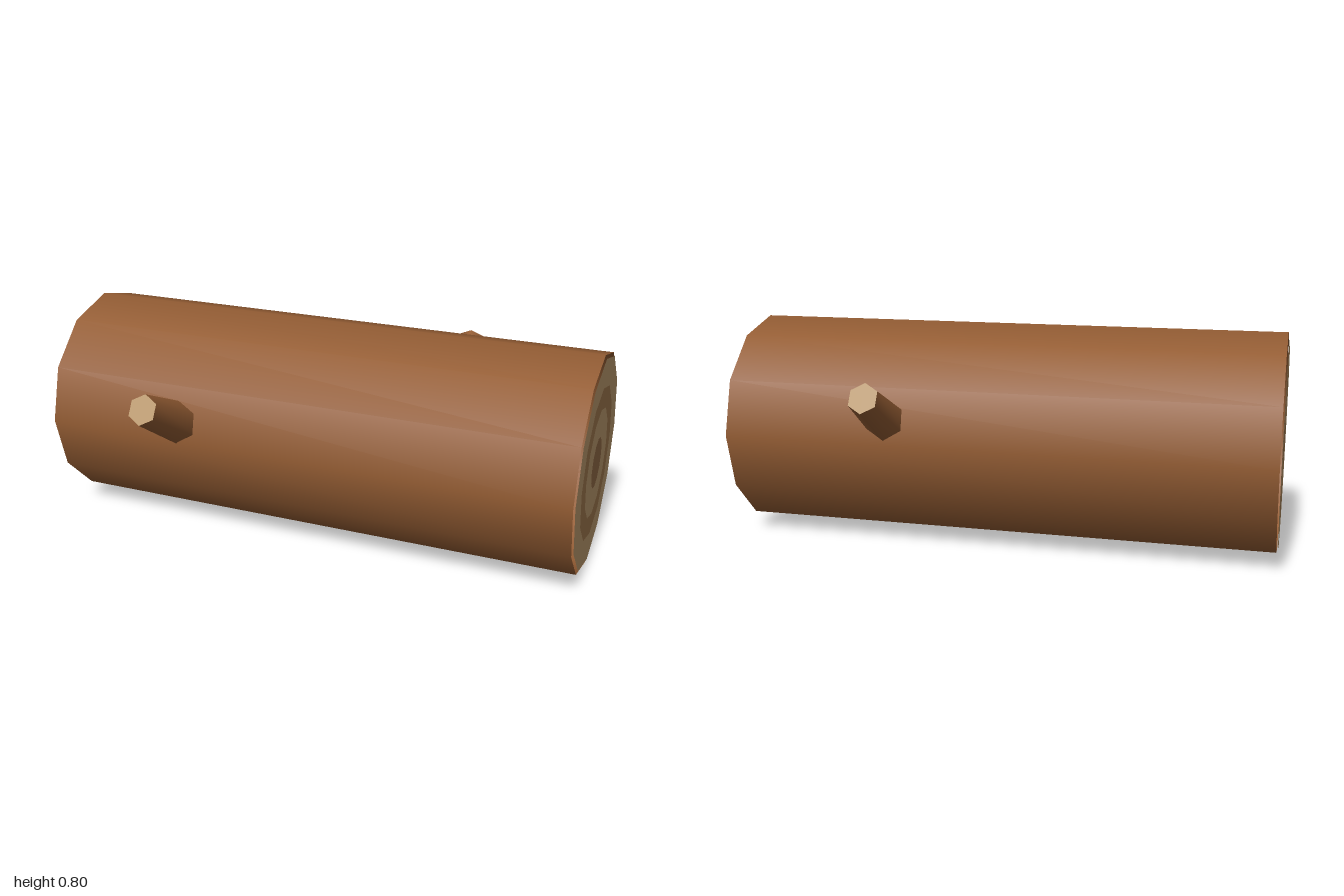
import * as THREE from 'three';

export function createModel() {
  const model = new THREE.Group();
  model.name = 'log';
  const bark = new THREE.MeshStandardMaterial({ color: 0x935c33, side: THREE.DoubleSide });
  const wood = new THREE.MeshStandardMaterial({ color: 0xb8966a });
  const ring = new THREE.MeshStandardMaterial({ color: 0x9c764c });
  const core = new THREE.MeshStandardMaterial({ color: 0x8f6844 });

  const add = (name, geometry, material, parent) => {
    const mesh = new THREE.Mesh(geometry, material);
    mesh.name = name;
    parent.add(mesh);
    return mesh;
  };

  const trunk = new THREE.Group();
  trunk.name = 'trunk';
  trunk.position.set(0, 0.4, -0.02);
  model.add(trunk);

  // Open bark tube lying along x
  add('bark', new THREE.CylinderGeometry(0.4, 0.4, 1.99, 12, 1, true).rotateZ(Math.PI / 2), bark, trunk);

  // Sawn ends with growth rings, slightly smaller than the bark
  const bands = [
    ['outerWood', 0.28, 0.387, wood],
    ['darkRing', 0.2, 0.28, ring],
    ['innerWood', 0.093, 0.2, wood],
    ['core', 0, 0.093, core],
  ];
  for (const side of [1, -1]) {
    const end = new THREE.Group();
    end.name = side > 0 ? 'leftEnd' : 'rightEnd';
    end.position.x = side;
    end.rotation.y = side * Math.PI / 2;
    trunk.add(end);
    for (const [name, inner, outer, material] of bands) {
      const geometry = inner > 0
        ? new THREE.RingGeometry(inner, outer, 12)
        : new THREE.CircleGeometry(outer, 12);
      add(name, geometry, material, end);
    }
  }

  // Tapered six-sided branch stubs, rising 30 degrees from the trunk
  const length = 0.3;
  for (const [name, x, side] of [['frontBranch', -0.465, 1], ['backBranch', 0.38, -1]]) {
    const geometry = new THREE.CylinderGeometry(0.056, 0.079, length, 6);
    geometry.translate(0, -length / 2, 0);
    const branch = add(name, geometry, [bark, wood, bark], model);
    branch.rotation.x = side * Math.PI / 3;
    branch.position.set(x, 0.603, side * 0.588);
  }

  return model;
}
